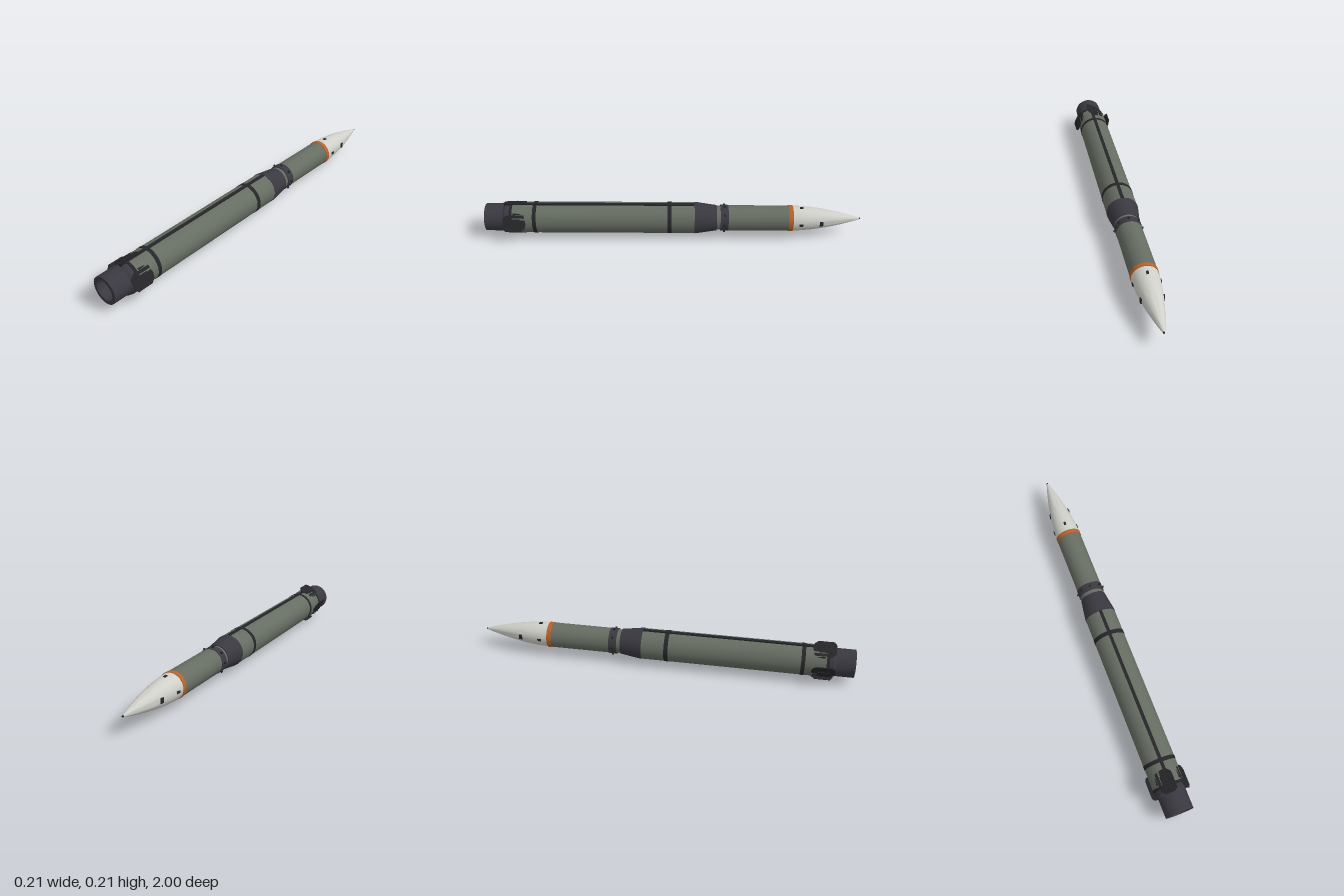
import * as THREE from 'three';
import { toCreasedNormals } from 'three/addons/utils/BufferGeometryUtils.js';

const AXIS_Y = 0.103;

function material(name, color) {
  const m = new THREE.MeshStandardMaterial({ color });
  m.name = name;
  return m;
}

export function createModel() {
  const green = material('olive grey', 0x666d62);
  const dark = material('dark grey', 0x3a3941);
  const black = material('near black', 0x26262a);
  const white = material('off white', 0xd0d0ca);
  const orange = material('orange', 0xb8622a);

  const root = new THREE.Group();
  root.name = 'rocket';
  const rocket = new THREE.Group();
  rocket.name = 'airframe';
  rocket.position.y = AXIS_Y;
  root.add(rocket);

  const add = (name, geometry, mat, parent = rocket) => {
    const mesh = new THREE.Mesh(geometry, mat);
    mesh.name = name;
    parent.add(mesh);
    return mesh;
  };
  // Turned part about the z axis, profile as [radius, z] with z rising
  const turned = (name, profile, mat, sides = 28) => {
    const pts = profile.map(([r, z]) => new THREE.Vector2(r, z));
    const g = new THREE.LatheGeometry(pts, sides).rotateX(Math.PI / 2);
    return add(name, toCreasedNormals(g, 0.45), mat);
  };
  const ring = (name, z0, z1, r, mat, inner = r - 0.006) =>
    turned(name, [[inner, z0], [r, z0], [r, z1], [inner, z1]], mat);
  // Holder turned around the axis: its +y points outward at the given angle
  const spoke = (name, angle) => {
    const g = new THREE.Group();
    g.name = name;
    g.rotation.z = angle;
    rocket.add(g);
    return g;
  };

  // Nose: curved cone, dark tip, orange base ring
  const noseRadius = (z) => {
    const t = (z + 1) / 0.367;
    return 0.003 + 0.064 * (1 - Math.pow(1 - t, 1.75));
  };
  const nose = [];
  for (let i = 0; i <= 16; i++) {
    const z = -0.992 + (i / 16) * 0.359;
    nose.push([noseRadius(z), z]);
  }
  turned('noseCone', nose, white, 32);
  turned('noseTip', [[0, -1], [0.004, -0.998], [0.0055, -0.99], [0.004, -0.986]], black, 12);
  ring('noseRing', -0.635, -0.612, 0.0695, orange);

  // Nose ports: small ones on top and sides, larger ones on the sides
  const ports = [
    [0, -0.68, 0.012, 0.018], [Math.PI / 2, -0.676, 0.012, 0.02], [-Math.PI / 2, -0.676, 0.012, 0.02],
    [Math.PI / 2, -0.785, 0.026, 0.018], [-Math.PI / 2, -0.785, 0.026, 0.018],
  ];
  for (const [angle, z, w, l] of ports) {
    const port = add('nosePort', new THREE.BoxGeometry(w, 0.008, l), black, spoke('nosePortMount', angle));
    port.position.set(0, noseRadius(z), z);
    port.rotation.x = -Math.atan((noseRadius(z + 0.01) - noseRadius(z - 0.01)) / 0.02);
  }

  // Upper stage and stud ring
  turned('upperStage', [[0.0675, -0.614], [0.0675, -0.29], [0.064, -0.285], [0.064, -0.225]], green);
  ring('studRing', -0.292, -0.25, 0.0695, dark);
  for (let i = 0; i < 8; i++) {
    const stud = add('stud', new THREE.CylinderGeometry(0.006, 0.006, 0.012, 8), black,
      spoke('studMount', (i * Math.PI) / 4));
    stud.position.set(0, 0.071, -0.271);
  }

  // Tapered interstage
  turned('interstage', [[0.062, -0.23], [0.068, -0.23], [0.07, -0.215], [0.0835, -0.125], [0.0845, -0.112], [0.08, -0.112]], dark);

  // Main stage and its bands
  turned('mainStage', [[0.08, -0.113], [0.083, -0.113], [0.083, 0.86], [0.078, 0.87]], green);
  ring('forwardBand', 0.01, 0.032, 0.0845, black);
  ring('aftBand', 0.725, 0.745, 0.0845, black);
  ring('finBand', 0.853, 0.868, 0.0845, black);

  // Tail collar and hollow nozzle
  turned('tailCollar', [[0.07, 0.866], [0.081, 0.866], [0.081, 0.89], [0.074, 0.902]], dark);
  turned('nozzle', [[0.0735, 0.88], [0.0735, 1], [0.0535, 1], [0.051, 0.95], [0, 0.95]], dark);

  // Cable raceway along the top
  const raceway = add('raceway', new THREE.BoxGeometry(0.016, 0.012, 1.01), black);
  raceway.position.set(0, 0.083, 0.393);

  // Four folded fins with hinges, and a slim wedge between each pair
  const outline = new THREE.Shape([
    [-0.02, 0.79], [0.025, 0.78], [0.05, 0.785], [0.068, 0.805],
    [0.068, 0.888], [0.05, 0.9], [0.0, 0.9], [-0.02, 0.88],
  ].map(([x, z]) => new THREE.Vector2(x, z)));
  const finGeometry = new THREE.ExtrudeGeometry(outline, { depth: 0.004, bevelEnabled: false })
    .rotateX(Math.PI / 2).translate(0, 0.0825, 0);
  const wedgeGeometry = new THREE.ConeGeometry(0.006, 0.06, 6).rotateX(-Math.PI / 2);
  for (let i = 0; i < 4; i++) {
    const quarter = (i * Math.PI) / 2;
    const mount = spoke('finMount', quarter + 0.464);
    add('foldedFin', finGeometry, black, mount);
    const hinge = add('finHinge', new THREE.BoxGeometry(0.022, 0.01, 0.07), black, mount);
    hinge.position.set(0.012, 0.08, 0.845);
    const wedge = add('tailWedge', wedgeGeometry, black, spoke('wedgeMount', quarter + Math.PI / 4));
    wedge.position.set(0, 0.081, 0.815);
  }
  return root;
}
